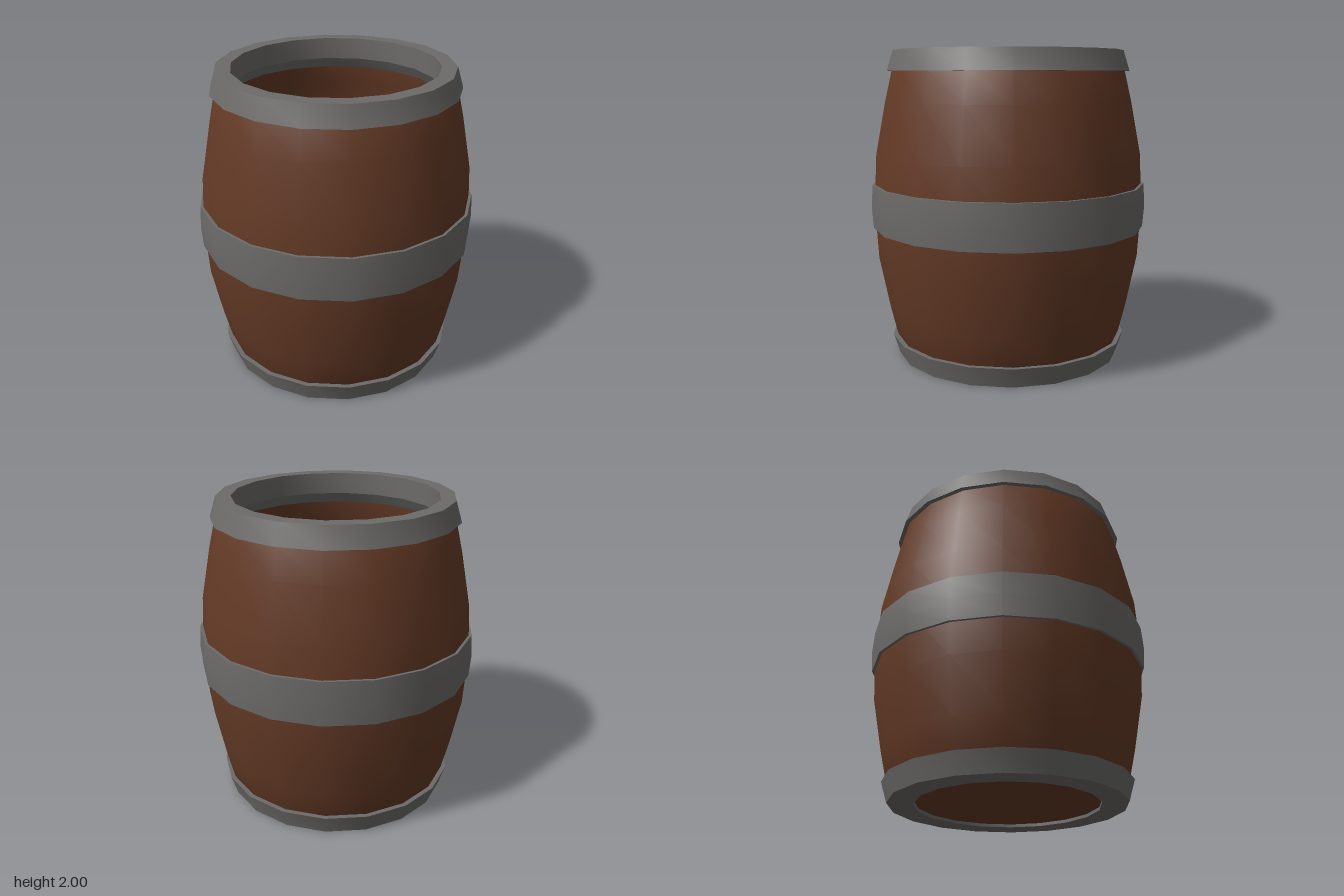
import * as THREE from 'three';
import { toCreasedNormals } from 'three/addons/utils/BufferGeometryUtils.js';

const SIDES = 18;

// Revolve a profile (outside upwards, inside downwards) with sharp corners kept
function revolve(name, material, profile) {
  const points = profile.map(([r, y]) => new THREE.Vector2(r, y));
  const lathe = new THREE.LatheGeometry(points, SIDES, Math.PI / 2);
  const mesh = new THREE.Mesh(toCreasedNormals(lathe, 0.5), material);
  mesh.name = name;
  return mesh;
}

export function createModel() {
  const wood = new THREE.MeshStandardMaterial({ color: 0x643a26 });
  wood.name = 'brown wood';
  const iron = new THREE.MeshStandardMaterial({ color: 0x6c6b69 });
  iron.name = 'grey iron';

  const barrel = new THREE.Group();
  barrel.name = 'barrel';

  // Hollow bulging body with a floor
  barrel.add(revolve('body', wood, [
    [0, 0.02], [0.7, 0.02], [0.755, 0.13], [0.8, 0.32], [0.866, 0.66], [0.885, 1],
    [0.866, 1.34], [0.8, 1.68], [0.755, 1.87], [0.72, 1.95],
    [0.7, 1.9], [0.69, 1.79], [0.73, 1.66], [0.79, 1.34], [0.81, 1],
    [0.79, 0.66], [0.73, 0.32], [0.68, 0.05], [0, 0.05],
  ]));

  // Rim hoop around the open top, with its inner lip
  barrel.add(revolve('topHoop', iron, [
    [0.69, 1.79], [0.72, 1.82], [0.74, 1.87], [0.785, 1.87], [0.745, 2],
    [0.65, 2], [0.65, 1.86], [0.69, 1.79],
  ]));

  // Band around the widest part
  barrel.add(revolve('middleHoop', iron, [
    [0.85, 0.86], [0.895, 0.86], [0.905, 1], [0.895, 1.145], [0.85, 1.145],
  ]));

  // Foot hoop, a ring open in the centre
  barrel.add(revolve('bottomHoop', iron, [
    [0.58, 0.03], [0.58, 0], [0.745, 0], [0.785, 0.13], [0.74, 0.13],
  ]));

  return barrel;
}
